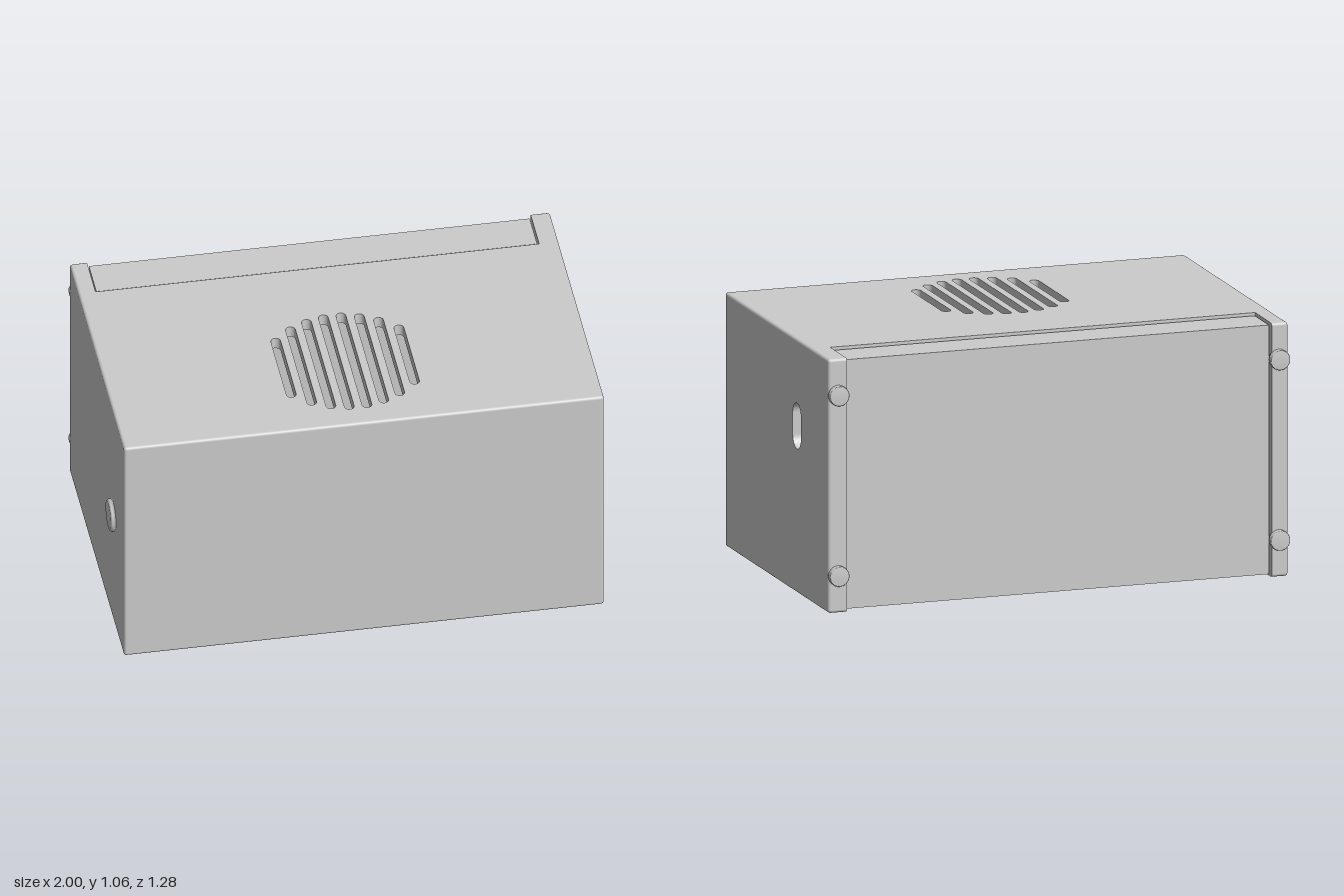
import * as THREE from 'three';

const X0 = -0.98, X1 = 0.997, H = 1.058, ZB = -0.618, ZF = 0.64; // casing limits
const R = 0.012, T = 0.05;                                       // edge rounding, wall thickness
const PX0 = -0.91, PX1 = 0.917, PZ = -0.414;                     // opening for the rear cover
const MX = (X0 + X1) / 2;

export function createModel() {
  const model = new THREE.Group();
  const mat = new THREE.MeshStandardMaterial({ color: 0xcccccc });

  const add = (name, geo, x = 0, y = 0, z = 0, parent = model) => {
    const m = new THREE.Mesh(geo, mat);
    m.name = name;
    m.position.set(x, y, z);
    parent.add(m);
    return m;
  };
  const box = (name, x0, x1, y0, y1, z0, z1, parent) => add(name,
    new THREE.BoxGeometry(x1 - x0, y1 - y0, z1 - z0), (x0 + x1) / 2, (y0 + y1) / 2, (z0 + z1) / 2, parent);

  const polygon = pts => new THREE.Shape(pts.map(p => new THREE.Vector2(...p)));
  // Rounded rectangle; a radius of half the width gives a stadium
  const rounded = (cx, cy, w, h, r, Type = THREE.Path) => {
    const p = new Type(), a = w / 2 - r, b = h / 2 - r;
    p.absarc(cx + a, cy + b, r, 0, Math.PI / 2);
    p.absarc(cx - a, cy + b, r, Math.PI / 2, Math.PI);
    p.absarc(cx - a, cy - b, r, Math.PI, Math.PI * 1.5);
    p.absarc(cx + a, cy - b, r, Math.PI * 1.5, Math.PI * 2);
    p.closePath();
    return p;
  };
  const extrude = (shape, depth) => new THREE.ExtrudeGeometry(shape, { depth, bevelEnabled: false, curveSegments: 10 });
  // Horizontal plate: shape is drawn in (x, -z); side plate: shape is drawn in (-z, y)
  const flat = (shape, t) => extrude(shape, t).rotateX(-Math.PI / 2);
  const upright = (shape, t) => extrude(shape, t).rotateY(Math.PI / 2);

  // Top and bottom plates, notched at the back for the cover
  const plateOutline = () => polygon([
    [X0 + R, -ZF + R], [X1 - R, -ZF + R], [X1 - R, -ZB - R], [PX1, -ZB - R],
    [PX1, -PZ], [PX0, -PZ], [PX0, -ZB - R], [X0 + R, -ZB - R]]);

  const top = plateOutline();
  const halves = [0.2, 0.265, 0.302, 0.32];
  for (let i = 0; i < 8; i++) {
    const half = halves[i < 4 ? i : 7 - i];
    top.holes.push(rounded(0.005 + (i - 3.5) * 0.0725, -0.22, 0.04, half * 2, 0.02));
  }
  add('topPlateWithGrille', flat(top, T), 0, H - T);

  // Underside with a shallow rounded pocket
  const bottom = plateOutline();
  bottom.holes.push(rounded(0, -0.12, 1.32, 0.62, 0.035));
  add('bottomPlate', flat(bottom, T));
  box('bottomPocketFloor', -0.7, 0.7, 0.035, 0.06, -0.23, 0.47);

  // Side plates, the +x one with the port opening
  const sideOutline = () => polygon([
    [-ZF + R, R], [-ZB - R, R], [-ZB - R, H - R], [-ZF + R, H - R]]);
  const side = sideOutline();
  side.holes.push(rounded(0.235, 0.697, 0.1, 0.19, 0.05));
  add('leftSide', upright(side, T), X1 - T);
  add('rightSide', upright(sideOutline(), T), X0);
  box('frontPlate', X0 + R, X1 - R, R, H - R, ZF - T, ZF);

  // Recessed port
  const port = new THREE.Group();
  port.name = 'port';
  model.add(port);
  box('portRecessFloor', X1 - 0.065, X1 - 0.045, 0.58, 0.82, -0.31, -0.16, port);
  const ring = rounded(0.235, 0.697, 0.05, 0.13, 0.025, THREE.Shape);
  ring.holes.push(rounded(0.235, 0.697, 0.038, 0.118, 0.019));
  add('portRim', upright(ring, 0.015), X1 - 0.047, 0, 0, port);

  // Rounded casing edges
  const edges = new THREE.Group();
  edges.name = 'roundedEdges';
  model.add(edges);
  const edge = (axis, length, x, y, z) => {
    const m = add('edge', new THREE.CylinderGeometry(R, R, length, 16), x, y, z, edges);
    if (axis === 'x') m.rotation.z = Math.PI / 2;
    if (axis === 'z') m.rotation.x = Math.PI / 2;
  };
  for (const y of [R, H - R]) {
    edge('x', X1 - X0 - 2 * R, MX, y, ZF - R);
    edge('x', PX0 - X0 - R, (X0 + R + PX0) / 2, y, ZB + R);
    edge('x', X1 - R - PX1, (X1 - R + PX1) / 2, y, ZB + R);
    for (const x of [X0 + R, X1 - R]) {
      edge('z', ZF - ZB - 2 * R, x, y, (ZF + ZB) / 2);
      for (const z of [ZB + R, ZF - R]) add('corner', new THREE.SphereGeometry(R, 16, 10), x, y, z, edges);
    }
  }
  for (const x of [X0 + R, X1 - R])
    for (const z of [ZB + R, ZF - R]) edge('y', H - 2 * R, x, H / 2, z);

  // Rear mounting flanges with screw heads
  box('rightRearFlange', X0 + R, PX0, R, H - R, ZB, ZB + T);
  box('leftRearFlange', PX1, X1 - R, R, H - R, ZB, ZB + T);
  for (const x of [-0.94, 0.955]) {
    for (const y of [0.155, 0.907]) {
      const profile = [[0, -0.01], [0.04, -0.01], [0.042, 0], [0.042, 0.02], [0.039, 0.024], [0, 0.024]]
        .map(p => new THREE.Vector2(...p));
      add('screwHead', new THREE.LatheGeometry(profile, 32), x, y, ZB).rotation.x = -Math.PI / 2;
    }
  }

  // Channel-shaped rear cover, set slightly below the casing surface
  const g = 0.006, d = 0.01, w = 0.03, back = 0.6, front = -PZ + 0.014;
  const channel = polygon([
    [front, d], [back, d], [back, H - d], [front, H - d],
    [front, H - d - w], [back - w, H - d - w], [back - w, d + w], [front, d + w]]);
  add('rearCover', upright(channel, PX1 - PX0 - 2 * g), PX0 + g);

  // Round push button
  const knob = [[0, 0], [0.068, 0], [0.068, 0.013], [0.061, 0.02], [0, 0.02]].map(p => new THREE.Vector2(...p));
  add('button', new THREE.LatheGeometry(knob, 48), X0, 0.53, 0.385).rotation.z = Math.PI / 2;

  return model;
}
